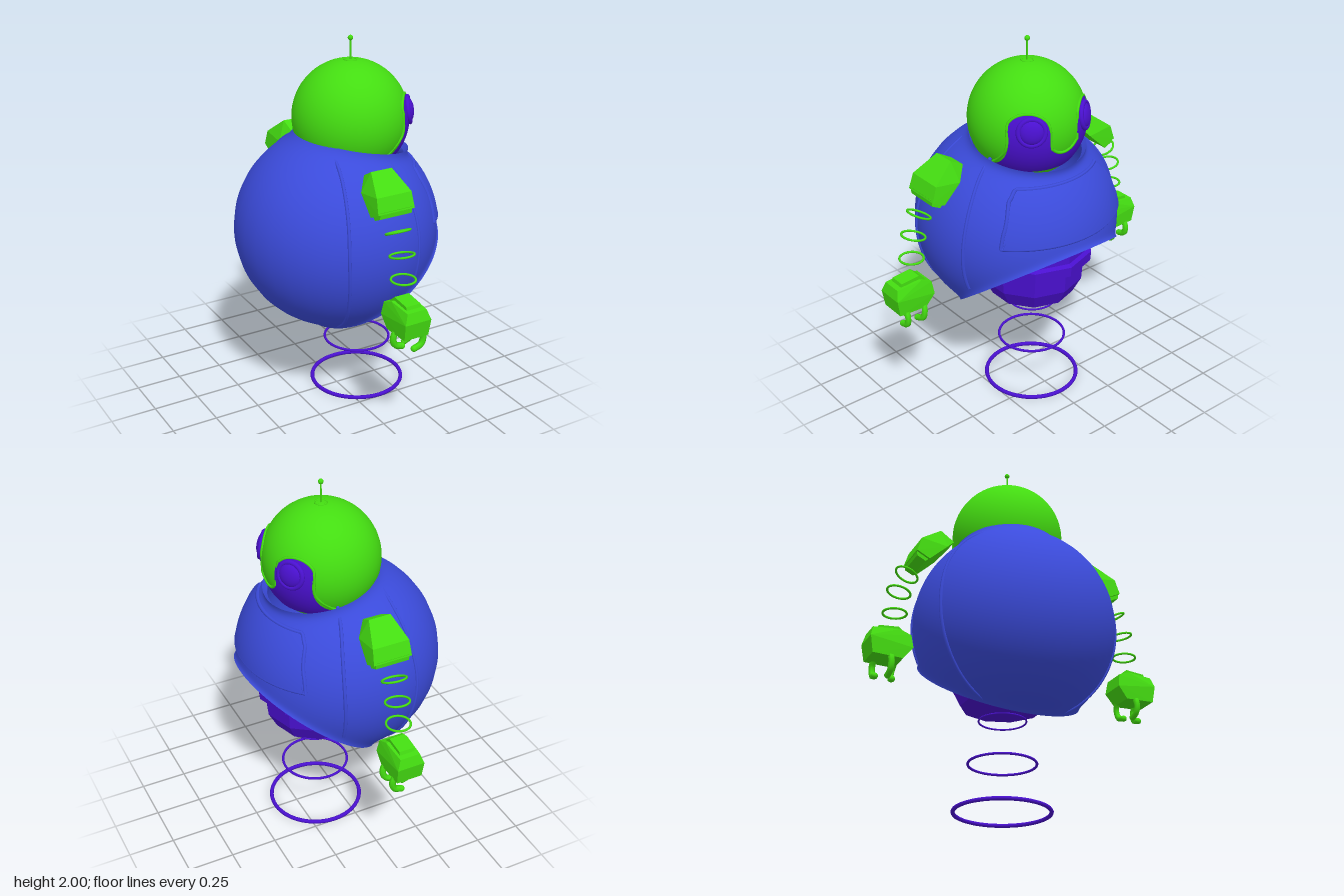
import * as THREE from 'three';
import { ConvexGeometry } from 'three/addons/geometries/ConvexGeometry.js';
import { ParametricGeometry } from 'three/addons/geometries/ParametricGeometry.js';

const V = (x, y, z) => new THREE.Vector3(x, y, z);
const paint = (color, extra = {}) => new THREE.MeshStandardMaterial({ color, side: THREE.DoubleSide, ...extra });
const green = paint(0x44dd11), blue = paint(0x3b4bdb), purple = paint(0x4a10d0);
const flatPurple = paint(0x4a10d0, { flatShading: true });
const flatGreen = paint(0x44dd11, { flatShading: true });

const BODY = V(-0.01, 0.975, 0), BODY_R = 0.54;
const HEAD = V(0.08, 1.57, 0), HEAD_R = 0.305;

function add(parent, name, geometry, material, x = 0, y = 0, z = 0) {
  const mesh = new THREE.Mesh(geometry, material);
  mesh.name = name;
  mesh.position.set(x, y, z);
  parent.add(mesh);
  return mesh;
}

const tube = (points, radius, segments = 40, tension = 0.5) =>
  new THREE.TubeGeometry(new THREE.CatmullRomCurve3(points, false, 'catmullrom', tension), segments, radius, 6);

// Point on the +x half of a sphere above a given z and y
const onFront = (c, r, z, y) => V(c.x + Math.sqrt(Math.max(0, r * r - z * z - (y - c.y) ** 2)), y, z);

// Curved patch on the +x side of a sphere, between low and high(z)
const patch = (c, r, half, low, high, cols, rows) => new ParametricGeometry((u, v, p) => {
  const z = (2 * u - 1) * half;
  p.copy(onFront(c, r, z, THREE.MathUtils.lerp(high(Math.abs(z)), low, v)));
}, cols, rows);

// Direction in the shell: swept from the tilted neck ring (v = 0) to the tilted opening (v = 1)
function shellPoint(u, v, r, out) {
  const ring = (axis, front, angle) => axis.multiplyScalar(Math.cos(angle))
    .addScaledVector(front, Math.sin(angle) * Math.cos(u * Math.PI * 2))
    .add(V(0, 0, Math.sin(angle) * Math.sin(u * Math.PI * 2)));
  const a = ring(V(0.2, 0.98, 0).normalize(), V(0.98, -0.2, 0).normalize(), 0.555);
  const b = ring(V(0.605, -0.796, 0).normalize(), V(0.796, 0.605, 0).normalize(), 0.945);
  const w = a.angleTo(b), s = Math.sin(w);
  return out.copy(BODY)
    .addScaledVector(a, r * Math.sin((1 - v) * w) / s)
    .addScaledVector(b, r * Math.sin(v * w) / s);
}
const outerRadius = v => BODY_R + 0.035 * Math.exp(-v / 0.035) + 0.014 * Math.exp((v - 1) / 0.025);
const innerRadius = v => 0.505 + 0.035 * Math.exp(-v / 0.035);

function buildBody() {
  const body = new THREE.Group();
  body.name = 'body';
  add(body, 'shell', new ParametricGeometry((u, v, p) => shellPoint(u, v, outerRadius(v), p), 64, 64), blue);
  add(body, 'shellInside', new ParametricGeometry((u, v, p) => shellPoint(1 - u, v, innerRadius(v), p), 64, 48), blue);
  for (const [name, end] of [['neckRim', 0], ['openingRim', 1]])
    add(body, name, new ParametricGeometry((u, v, p) =>
      shellPoint(u, end, THREE.MathUtils.lerp(outerRadius(end), innerRadius(end), end ? v : 1 - v), p), 64, 1), blue);

  // Raised seams on both flanks
  const seams = [
    [[-0.14, 1.46], [-0.19, 1.25], [-0.215, 1], [-0.19, 0.74], [-0.13, 0.5]],
    [[0.12, 1.43], [0.175, 1.25], [0.195, 1.05], [0.185, 0.77]],
  ];
  for (const side of [1, -1]) for (const seam of seams) {
    const flat = new THREE.SplineCurve(seam.map(([x, y]) => new THREE.Vector2(x, y)));
    const path = flat.getPoints(16).map(q =>
      V(q.x, q.y, side * Math.sqrt(BODY_R ** 2 - (q.x - BODY.x) ** 2 - (q.y - BODY.y) ** 2)));
    add(body, 'seam', tube(path, 0.01), blue);
  }

  // Raised chest panel with a border
  const edge = [[0.26, 1.325], [0.31, 1.27], [0.37, 1.12], [0.386, 1.055]];
  const top = z => {
    if (z <= edge[0][0]) return edge[0][1];
    const i = Math.max(1, edge.findIndex(e => e[0] >= z - 1e-6));
    const [a, b] = [edge[i - 1], edge[i]];
    return THREE.MathUtils.mapLinear(z, a[0], b[0], a[1], b[1]);
  };
  add(body, 'chestPanel', patch(BODY, BODY_R + 0.01, 0.386, 1.055, top, 48, 10), blue);
  const border = [];
  for (let i = 0; i <= 48; i++) {
    const z = -0.386 + 0.772 * i / 48;
    border.push(onFront(BODY, BODY_R + 0.001, z, top(Math.abs(z))));
  }
  for (let i = 0; i <= 24; i++) border.push(onFront(BODY, BODY_R + 0.001, 0.386 - 0.772 * i / 24, 1.055));
  add(body, 'chestPanelBorder', tube(border, 0.011, 150), blue);
  return body;
}

function buildHead() {
  const head = new THREE.Group();
  head.name = 'head';
  add(head, 'dome', new THREE.SphereGeometry(HEAD_R, 48, 32), green, HEAD.x, HEAD.y, 0);

  // Face: two lobes around the eyes with a dip between them
  const brow = z => z < 0.085
    ? 1.57 - Math.sqrt(0.0085 - z * z)
    : 1.615 + 0.085 * Math.sqrt(Math.max(0, 1 - ((z - 0.17) / 0.085) ** 2));
  add(head, 'face', patch(HEAD, HEAD_R + 0.004, 0.255, 1.37, brow, 96, 16), purple);
  const rim = [V(0, 1.37, -0.258), V(0, 1.5, -0.257)];
  for (let i = 0; i <= 72; i++) {
    const z = -0.255 + 0.51 * i / 72;
    rim.push(V(0, brow(Math.abs(z)), z));
  }
  rim.push(V(0, 1.5, 0.257), V(0, 1.37, 0.258));
  add(head, 'faceRim', tube(rim.map(p => onFront(HEAD, HEAD_R, p.z, p.y)), 0.008, 160), green);

  for (const side of [1, -1]) {
    const eye = new THREE.Group();
    eye.name = side > 0 ? 'eyeA' : 'eyeB';
    eye.position.copy(onFront(HEAD, HEAD_R, side * 0.17, 1.615));
    eye.lookAt(eye.position.clone().multiplyScalar(2).sub(HEAD));
    add(eye, 'lens', new THREE.SphereGeometry(0.062, 24, 16), purple).scale.z = 0.45;
    add(eye, 'eyeRing', new THREE.TorusGeometry(0.066, 0.013, 10, 32), purple);
    head.add(eye);
  }

  // Antenna
  add(head, 'antennaBase', new THREE.TorusGeometry(0.03, 0.005, 8, 24), green, HEAD.x, 1.873, 0).rotation.x = Math.PI / 2;
  add(head, 'antennaRod', new THREE.CylinderGeometry(0.005, 0.005, 0.12, 8), green, HEAD.x, 1.925, 0);
  add(head, 'antennaTip', new THREE.SphereGeometry(0.014, 12, 8), green, HEAD.x, 1.986, 0);
  return head;
}

function buildArm(side) {
  const arm = new THREE.Group();
  arm.name = side > 0 ? 'armA' : 'armB';
  arm.position.x = -0.012;
  // Faceted block from [z, y, half width] stations
  const block = list => new ConvexGeometry(list.flatMap(([z, y, w]) => [V(w, y, side * z), V(-w, y, side * z)]));

  add(arm, 'shoulder', block([[0.375, 1.395, 0.05], [0.455, 1.44, 0.06], [0.575, 1.35, 0.1],
    [0.6, 1.27, 0.105], [0.53, 1.235, 0.105], [0.43, 1.33, 0.1]]), flatGreen);
  add(arm, 'shoulderCuff', block([[0.598, 1.28, 0.092], [0.595, 1.245, 0.092],
    [0.548, 1.222, 0.092], [0.5, 1.27, 0.092]]), flatGreen);

  // Floating arm rings
  for (const [z, y, tilt] of [[0.616, 1.17, 0.44], [0.655, 1.06, 0.23], [0.672, 0.935, 0]])
    add(arm, 'armRing', new THREE.TorusGeometry(0.062, 0.006, 8, 28), green, 0, y, side * z)
      .rotation.x = Math.PI / 2 - side * tilt;

  add(arm, 'palm', block([[0.8, 0.815, 0.055], [0.815, 0.76, 0.075], [0.8, 0.67, 0.07], [0.64, 0.665, 0.07],
    [0.59, 0.73, 0.075], [0.6, 0.8, 0.065], [0.66, 0.825, 0.06]]), flatGreen);
  add(arm, 'wrist', block([[0.765, 0.835, 0.042], [0.66, 0.845, 0.042], [0.62, 0.81, 0.042],
    [0.65, 0.75, 0.042], [0.79, 0.75, 0.042]]), flatGreen);

  // Curled fingers and an opposing thumb
  for (const [name, dir, z, lean] of [['finger', 1, 0.755, 0], ['finger', 1, 0.645, 0.02], ['thumb', -1, 0.7, 0]]) {
    const path = [[0.045, 0.69], [0.07, 0.645], [0.06, 0.6], [0.018, 0.583]]
      .map(([x, y], i) => V(dir * x, y, side * (z + lean * i / 3)));
    add(arm, name, tube(path, 0.017, 14), green);
    const tip = path[3];
    add(arm, name + 'Tip', new THREE.SphereGeometry(0.017, 10, 8), green, tip.x, tip.y, tip.z);
  }
  return arm;
}

function buildThruster() {
  const thruster = new THREE.Group();
  thruster.name = 'thruster';
  thruster.position.x = 0.13;
  const profile = [[0, 0.58], [0.225, 0.58], [0.272, 0.67], [0.28, 0.785], [0.318, 0.79], [0.322, 0.845],
    [0.305, 0.86], [0.305, 0.94], [0.24, 1.04], [0, 1.06]];
  add(thruster, 'core', new THREE.LatheGeometry(profile.map(p => new THREE.Vector2(...p)), 10), flatPurple)
    .rotation.y = Math.PI / 2;
  // Hover rings growing toward the ground
  for (const [r, t, y] of [[0.126, 0.005, 0.502], [0.18, 0.007, 0.267], [0.252, 0.011, 0.011]])
    add(thruster, 'hoverRing', new THREE.TorusGeometry(r, t, 8, 48), purple, 0, y, 0).rotation.x = Math.PI / 2;
  return thruster;
}

export function createModel() {
  const model = new THREE.Group();
  model.name = 'hoverRobot';
  model.add(buildBody(), buildHead(), buildArm(1), buildArm(-1), buildThruster());
  return model;
}
